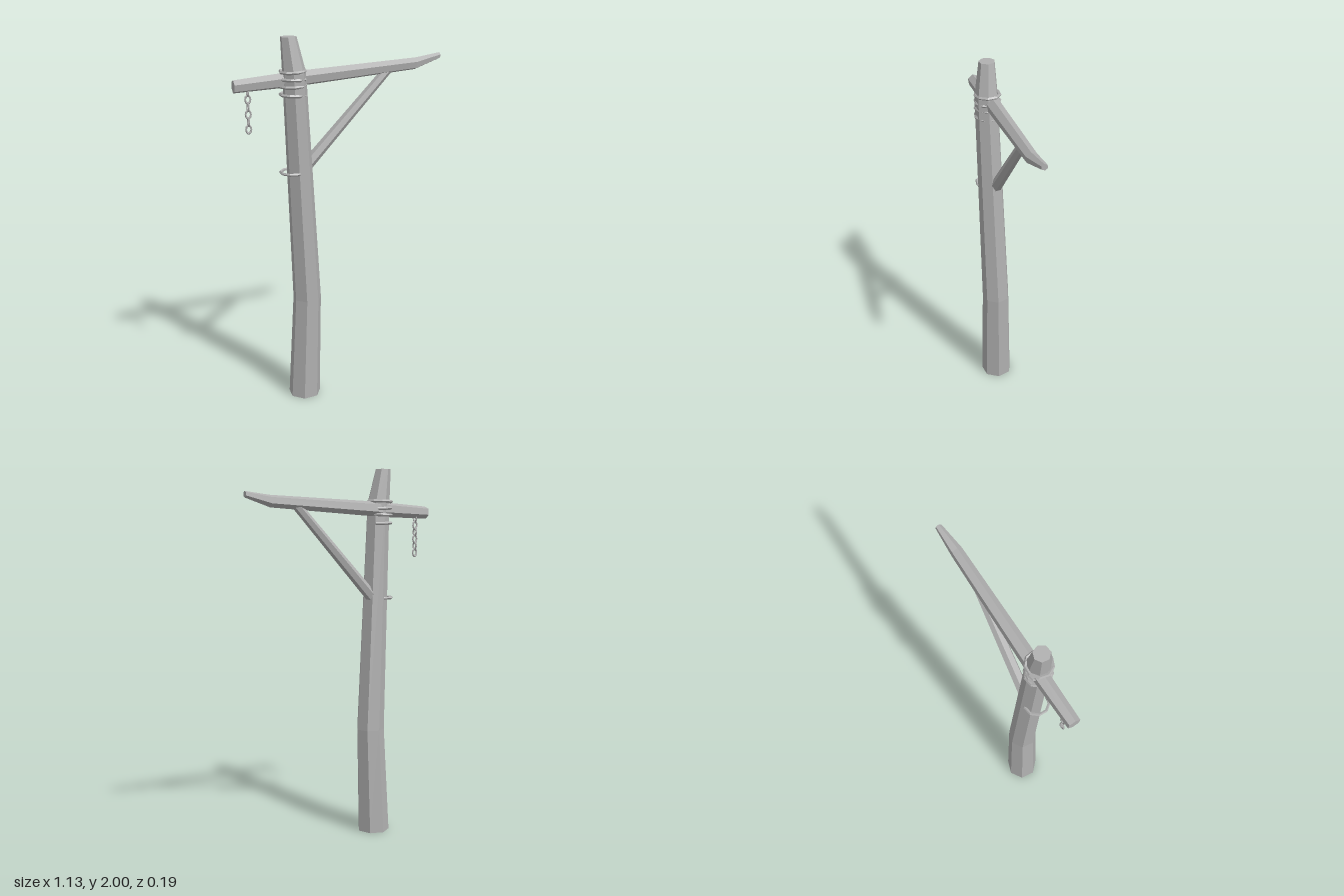
import * as THREE from 'three';

// Flat-sided loft: sections are [x, y, z, radius], rings lie square to dir
function loft(sections, dir, u, sides, twist) {
  const d = dir.clone().normalize();
  const v = new THREE.Vector3().crossVectors(d, u);
  const rings = sections.map(([x, y, z, r]) =>
    Array.from({ length: sides }, (_, i) => {
      const a = twist + (i / sides) * Math.PI * 2;
      return new THREE.Vector3(x, y, z)
        .addScaledVector(u, r * Math.cos(a))
        .addScaledVector(v, r * Math.sin(a));
    }));
  const pos = [];
  const tri = (...pts) => pts.forEach((p) => pos.push(p.x, p.y, p.z));
  for (let k = 0; k < rings.length - 1; k++) {
    for (let i = 0; i < sides; i++) {
      const j = (i + 1) % sides;
      tri(rings[k][i], rings[k][j], rings[k + 1][j]);
      tri(rings[k][i], rings[k + 1][j], rings[k + 1][i]);
    }
  }
  const first = rings[0], last = rings[rings.length - 1];
  for (let i = 1; i < sides - 1; i++) {
    tri(first[0], first[i + 1], first[i]);
    tri(last[0], last[i], last[i + 1]);
  }
  const g = new THREE.BufferGeometry();
  g.setAttribute('position', new THREE.Float32BufferAttribute(pos, 3));
  g.computeVertexNormals();
  return g;
}

// Faceted ring or chain link
function facetedTorus(radius, tube, tubeSides, sides) {
  const g = new THREE.TorusGeometry(radius, tube, tubeSides, sides).toNonIndexed();
  g.computeVertexNormals();
  return g;
}

export function createModel() {
  const model = new THREE.Group();
  model.name = 'hangingPost';
  const grey = new THREE.MeshStandardMaterial({ color: 0xb0b0b0 });
  grey.name = 'grey';
  const add = (name, geometry, parent = model) => {
    const mesh = new THREE.Mesh(geometry, grey);
    mesh.name = name;
    parent.add(mesh);
    return mesh;
  };
  const X = new THREE.Vector3(1, 0, 0);
  const Y = new THREE.Vector3(0, 1, 0);
  const Z = new THREE.Vector3(0, 0, 1);

  // Bent upright with a tapered top
  add('post', loft([
    [-0.215, 0, -0.003, 0.088],
    [-0.195, 0.58, 0.002, 0.077],
    [-0.258, 1.82, 0.028, 0.062],
    [-0.282, 2, 0.018, 0.042],
  ], Y, Z, 7, THREE.MathUtils.degToRad(85)));

  // Crossbeam, narrowing at its far end
  add('crossbeam', loft([
    [-0.57, 1.768, 0.017, 0.034],
    [-0.25, 1.785, 0.006, 0.041],
    [0.42, 1.823, -0.005, 0.032],
    [0.565, 1.855, -0.018, 0.017],
  ], X, Y, 6, 0.15));

  // Diagonal support
  add('brace', loft([
    [-0.2, 1.312, -0.003, 0.032],
    [0.27, 1.808, -0.003, 0.024],
  ], new THREE.Vector3(0.47, 0.496, 0), Z, 6, 0.2));

  // Rope turns binding the beam to the post
  const binding = new THREE.Group();
  binding.name = 'binding';
  model.add(binding);
  [1.71, 1.755, 1.79, 1.828].forEach((y, i) => {
    const ring = add('ropeTurn', facetedTorus(0.064, 0.009, 5, 9), binding);
    ring.position.set(-0.264, y, 0.022);
    ring.rotation.set(Math.PI / 2, (i % 2 ? 1 : -1) * 0.03, i * 0.3);
  });

  // Band lower on the post
  const band = add('postBand', facetedTorus(0.063, 0.008, 5, 9));
  band.position.set(-0.272, 1.305, 0.022);
  band.rotation.x = Math.PI / 2;

  // Hanging chain, alternate links turned a quarter
  const chain = new THREE.Group();
  chain.name = 'chain';
  model.add(chain);
  for (let i = 0; i < 6; i++) {
    const link = add('chainLink', facetedTorus(0.0135, 0.005, 5, 10), chain);
    link.position.set(-0.497, 1.547 + i * 0.038, 0.015);
    link.scale.y = 1.45;
    link.rotation.y = i % 2 ? Math.PI / 2 : 0;
  }
  return model;
}
